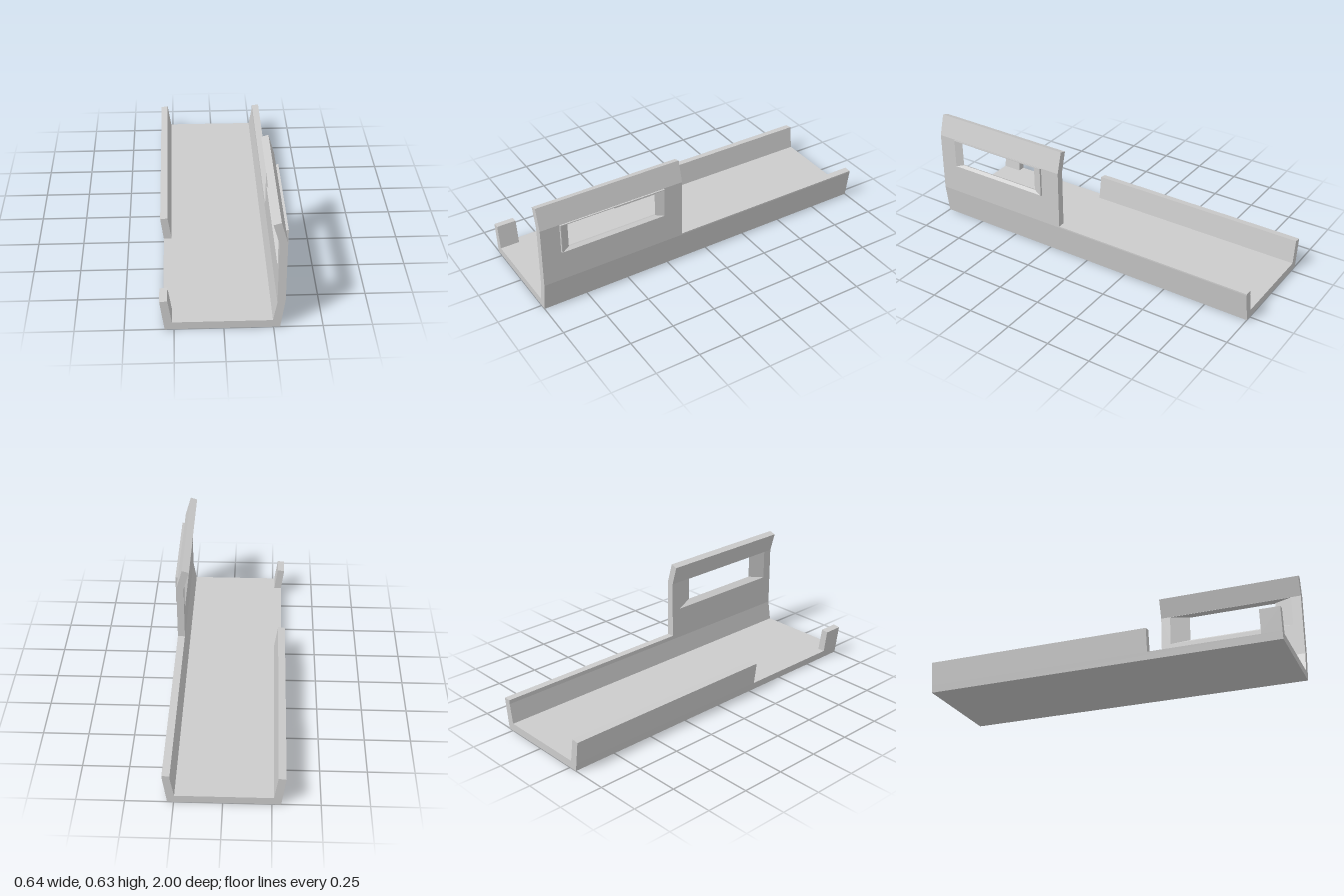
import * as THREE from 'three';

const material = new THREE.MeshStandardMaterial({ color: 0xcccccc, flatShading: true });

// Extrudes an x/y profile from z0 to z1
function extrude(name, points, z0, z1) {
  const shape = new THREE.Shape(points.map(([x, y]) => new THREE.Vector2(x, y)));
  const geometry = new THREE.ExtrudeGeometry(shape, { depth: z1 - z0, bevelEnabled: false });
  geometry.translate(0, 0, z0);
  const mesh = new THREE.Mesh(geometry, material);
  mesh.name = name;
  return mesh;
}

// Joins rectangles [x, y0, y1, z0, z1] into a closed panel with an opening
function loftRectangles(name, rectangles) {
  const rings = rectangles.map(([x, y0, y1, z0, z1]) => [
    [x, y0, z0], [x, y0, z1], [x, y1, z1], [x, y1, z0],
  ]);
  const positions = [];
  rings.forEach((ring, i) => {
    const next = rings[(i + 1) % rings.length];
    for (let k = 0; k < 4; k++) {
      const j = (k + 1) % 4;
      const a = ring[k], b = ring[j], c = next[j], d = next[k];
      positions.push(...a, ...b, ...c, ...a, ...c, ...d);
    }
  });
  const geometry = new THREE.BufferGeometry();
  geometry.setAttribute('position', new THREE.Float32BufferAttribute(positions, 3));
  geometry.computeVertexNormals();
  const mesh = new THREE.Mesh(geometry, material);
  mesh.name = name;
  return mesh;
}

export function createModel() {
  const group = new THREE.Group();
  group.name = 'openTray';

  // Floor with the low wall running its whole length on the left
  group.add(extrude('floorAndLowWall', [
    [-0.297, 0], [0.283, 0], [0.306, 0.17], [0.306, 0.178],
    [0.265, 0.178], [0.265, 0.155], [0.246, 0.043], [-0.303, 0.043],
  ], -1, 1));

  // Leaning lip on the right, interrupted by a gap near the front
  const lip = [[-0.303, 0.043], [-0.26, 0.043], [-0.28, 0.178], [-0.32, 0.173]];
  group.add(extrude('rearLip', lip, -1, 0.28));
  group.add(extrude('frontLip', lip, 0.89, 1));

  // Tall wall panel: flared window inside, raised rim outside
  group.add(loftRectangles('windowWall', [
    [0.265, 0.178, 0.51, 0.17, 1],        // inner face border
    [0.265, 0.338, 0.509, 0.225, 0.945],  // inner opening
    [0.3, 0.36, 0.506, 0.335, 0.845],     // narrowest point
    [0.319, 0.349, 0.513, 0.287, 0.887],  // inside edge of rim
    [0.319, 0.345, 0.517, 0.282, 0.892],  // outside edge of rim
    [0.306, 0.345, 0.514, 0.282, 0.892],  // foot of rim
    [0.306, 0.178, 0.515, 0.17, 1],       // outer face border
  ]));

  // Top of the tall wall bends inward
  group.add(extrude('bentTop', [
    [0.265, 0.51], [0.306, 0.515], [0.272, 0.633], [0.233, 0.621],
  ], 0.17, 1));

  return group;
}
